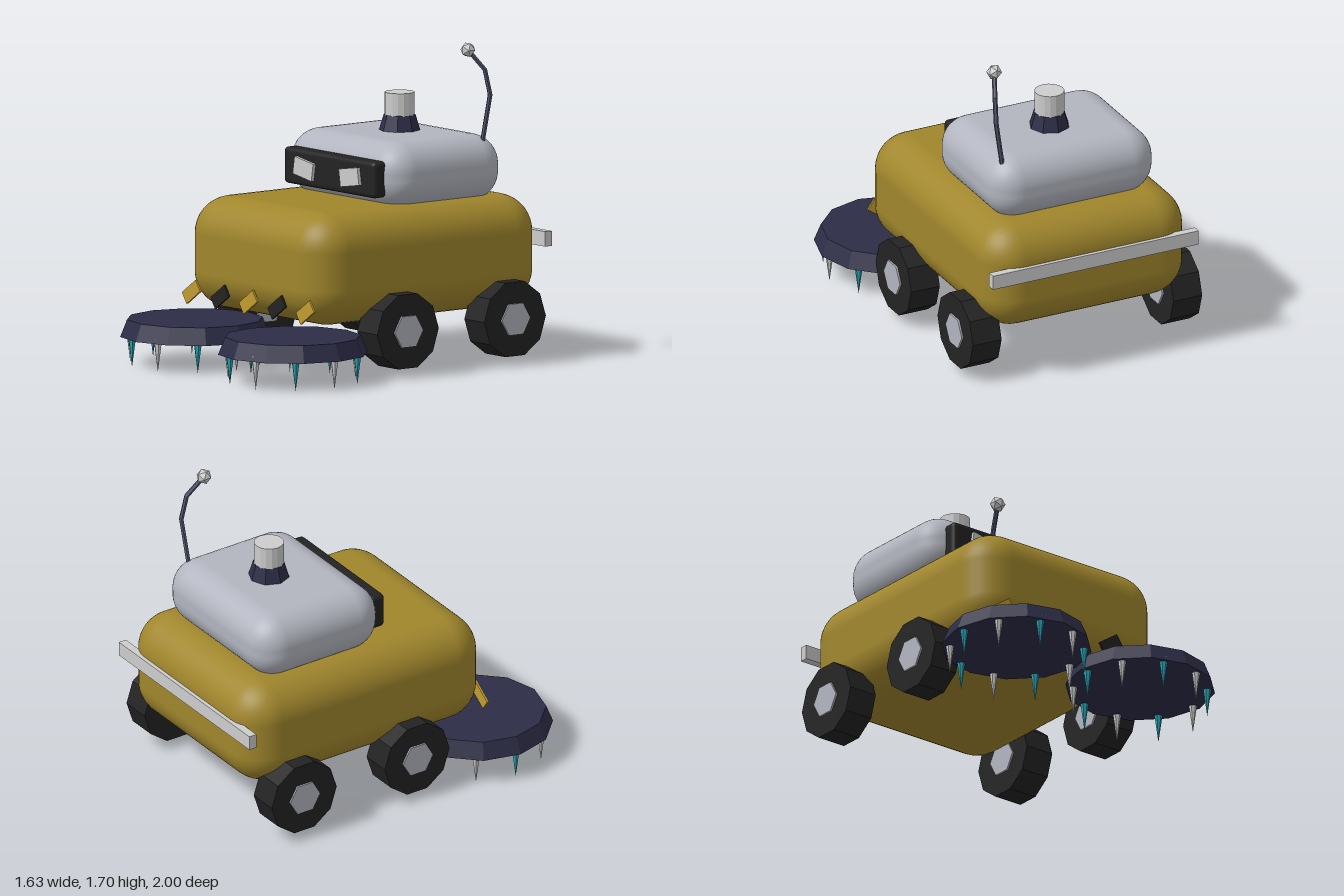
import * as THREE from 'three';
import { RoundedBoxGeometry } from 'three/addons/geometries/RoundedBoxGeometry.js';

export function createModel() {
  const model = new THREE.Group();
  model.name = 'sweeperVehicle';

  const mat = (name, color, flatShading = false) => {
    const m = new THREE.MeshStandardMaterial({ color, flatShading });
    m.name = name;
    return m;
  };
  const ochre = mat('ochre', 0xa0862c);
  const yellow = mat('yellow', 0xc29c30);
  const grey = mat('grey', 0xb2b5bf);
  const black = mat('black', 0x232323, true);
  const navy = mat('navy', 0x2d2d47, true);
  const slate = mat('slate', 0x54586f, true);
  const silver = mat('silver', 0xcdcdcd, true);
  const teal = mat('teal', 0x2ba6b6, true);

  const add = (name, geometry, material, x, y, z, parent = model) => {
    const mesh = new THREE.Mesh(geometry, material);
    mesh.name = name;
    mesh.position.set(x, y, z);
    parent.add(mesh);
    return mesh;
  };

  // Hull and cabin
  add('body', new RoundedBoxGeometry(1.2, 0.6, 1.535, 5, 0.2), ochre, 0, 0.583, -0.21);
  add('cabin', new RoundedBoxGeometry(0.968, 0.36, 0.79, 5, 0.16), grey, 0, 1.025, -0.423);

  // Face: dark visor with two tilted eye plates
  add('visor', new RoundedBoxGeometry(0.775, 0.195, 0.09, 3, 0.025), black, 0, 1.018, -0.018);
  for (const s of [-1, 1]) {
    const eye = add('eye', new THREE.BoxGeometry(0.16, 0.095, 0.03), silver, s * 0.195, 1.018, 0.03);
    eye.rotation.z = s * 0.16;
  }

  // Roof stack
  add('stackBase', new THREE.CylinderGeometry(0.085, 0.112, 0.09, 8), navy, 0, 1.243, -0.455);
  add('stackPipe', new THREE.CylinderGeometry(0.08, 0.08, 0.13, 16), silver, 0, 1.343, -0.455);

  // Antenna: straight rods between bend points, with a ball on top
  const antenna = new THREE.Group();
  antenna.name = 'antenna';
  model.add(antenna);
  const bends = [
    [0.402, 1.165, -0.695], [0.446, 1.42, -0.712], [0.438, 1.555, -0.683], [0.4, 1.665, -0.598],
  ].map((p) => new THREE.Vector3(...p));
  for (let i = 0; i < bends.length - 1; i++) {
    const dir = bends[i + 1].clone().sub(bends[i]);
    const mid = bends[i].clone().addScaledVector(dir, 0.5);
    const rod = add('antennaRod', new THREE.CylinderGeometry(0.013, 0.013, dir.length() + 0.004, 6),
      slate, mid.x, mid.y, mid.z, antenna);
    rod.quaternion.setFromUnitVectors(new THREE.Vector3(0, 1, 0), dir.normalize());
  }
  add('antennaBall', new THREE.IcosahedronGeometry(0.042, 0), silver, 0.4, 1.665, -0.598, antenna);

  // Rear bumper bar
  add('rearBar', new THREE.BoxGeometry(1.22, 0.08, 0.045), silver, 0, 0.643, -0.977);

  // Warning plates across the nose
  for (let i = 0; i < 5; i++) {
    const plate = add('warningPlate', new THREE.BoxGeometry(0.14, 0.07, 0.012),
      i % 2 ? black : yellow, (i - 2) * 0.242, 0.375, 0.566);
    plate.rotation.z = 0.6;
  }

  // Wheels with hexagonal hubs showing on both sides
  const tyre = new THREE.CylinderGeometry(0.208, 0.208, 0.17, 10).rotateZ(Math.PI / 2);
  const hub = new THREE.CylinderGeometry(0.096, 0.096, 0.19, 6).rotateZ(Math.PI / 2);
  for (const x of [-0.595, 0.595]) {
    for (const z of [0.03, -0.695]) {
      const wheel = new THREE.Group();
      wheel.name = 'wheel';
      wheel.position.set(x, 0.247, z);
      add('tyre', tyre, black, 0, 0, 0, wheel);
      add('hub', hub, grey, 0, 0, 0, wheel);
      model.add(wheel);
    }
  }

  // Sweeping discs, each with a ring of ten downward spikes
  const disc = new THREE.CylinderGeometry(0.363, 0.4, 0.092, 12);
  const spike = new THREE.ConeGeometry(0.025, 0.18, 6).rotateX(Math.PI);
  for (const x of [-0.416, 0.416]) {
    const brush = new THREE.Group();
    brush.name = 'sweeperBrush';
    brush.position.set(x, 0, 0.6);
    add('brushDisc', disc, navy, 0, 0.199, 0, brush);
    for (let k = 0; k < 10; k++) {
      const a = k * Math.PI / 5;
      add('spike', spike, k % 2 ? teal : silver, 0.355 * Math.cos(a), 0.09, 0.355 * Math.sin(a), brush);
    }
    model.add(brush);
  }

  return model;
}
